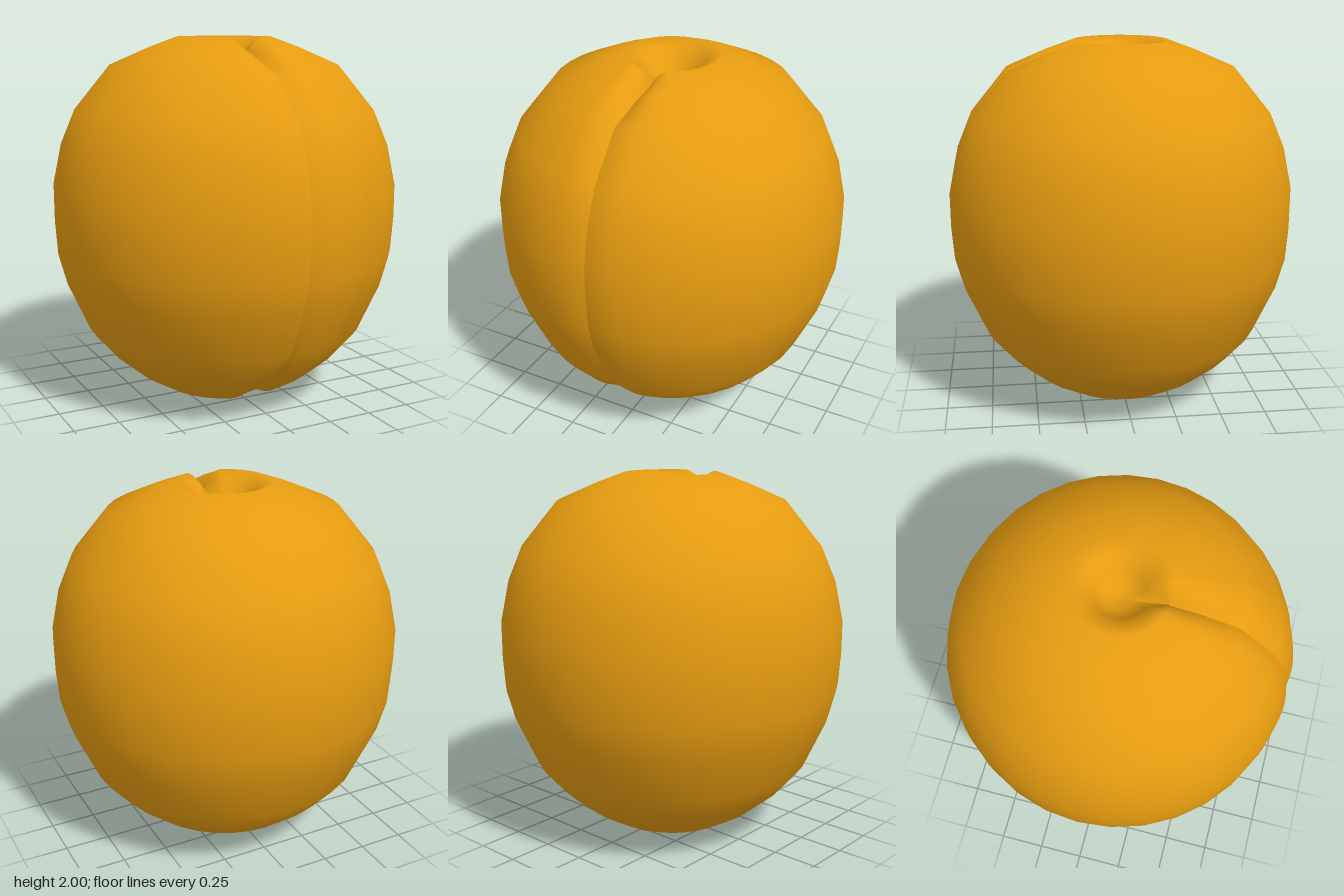
import * as THREE from 'three';

// Body profile from base dimple to stem dimple: radius, height, crease depth, crease half-width
const PROFILE = [
  [0, 0.08, 0, 0.1], [0.05, 0.07, 0, 0.1], [0.1, 0.03, 0.02, 0.08],
  [0.18, 0, 0.1, 0.11], [0.36, 0.05, 0.06, 0.13], [0.51, 0.14, 0.04, 0.14],
  [0.65, 0.26, 0.03, 0.15], [0.77, 0.4, 0.02, 0.15], [0.89, 0.67, 0.02, 0.17],
  [0.935, 0.84, 0.02, 0.17], [0.947, 1.02, 0.02, 0.17], [0.947, 1.2, 0.02, 0.17],
  [0.9, 1.42, 0.02, 0.16], [0.82, 1.61, 0.025, 0.15], [0.625, 1.85, 0.04, 0.14],
  [0.42, 1.94, 0.07, 0.12], [0.26, 2, 0.11, 0.11], [0.18, 1.97, 0.09, 0.09],
  [0.13, 1.89, 0.03, 0.07], [0.07, 1.85, 0, 0.1], [0, 1.84, 0, 0.1],
];

const SEGMENTS = 44;

// Angle from the front: fine steps beside the crease, even steps elsewhere
function angleAt(i) {
  const k = Math.min(i, SEGMENTS - i);
  const degrees = k <= 8 ? k * 22.5 / 8 : 22.5 + (k - 8) * 11.25;
  return THREE.MathUtils.degToRad(degrees) * (i <= SEGMENTS / 2 ? 1 : -1);
}

function createFruitGeometry() {
  const points = PROFILE.map(([r, y]) => new THREE.Vector2(r, y));
  const geometry = new THREE.LatheGeometry(points, SEGMENTS);
  const position = geometry.attributes.position;
  const rows = PROFILE.length;

  for (let i = 0; i <= SEGMENTS; i++) {
    const angle = angleAt(i);
    for (let j = 0; j < rows; j++) {
      let [r, y, depth, width] = PROFILE[j];
      // Press the front crease inward along the profile normal
      const across = Math.abs(Math.sin(angle)) * r / width;
      if (depth > 0 && across < 1 && Math.cos(angle) > 0) {
        const tangent = points[j + 1].clone().sub(points[j - 1]).normalize();
        const push = depth * (1 - across) ** 2;
        r = Math.max(0, r - tangent.y * push);
        y += tangent.x * push;
      }
      position.setXYZ(i * rows + j, Math.sin(angle) * r, y, Math.cos(angle) * r);
    }
  }
  geometry.computeVertexNormals();
  return geometry;
}

export function createModel() {
  const model = new THREE.Group();
  model.name = 'stoneFruit';
  const material = new THREE.MeshStandardMaterial({ color: 0xe69c10, side: THREE.DoubleSide });
  const flesh = new THREE.Mesh(createFruitGeometry(), material);
  flesh.name = 'fruitBody';
  model.add(flesh);
  return model;
}
